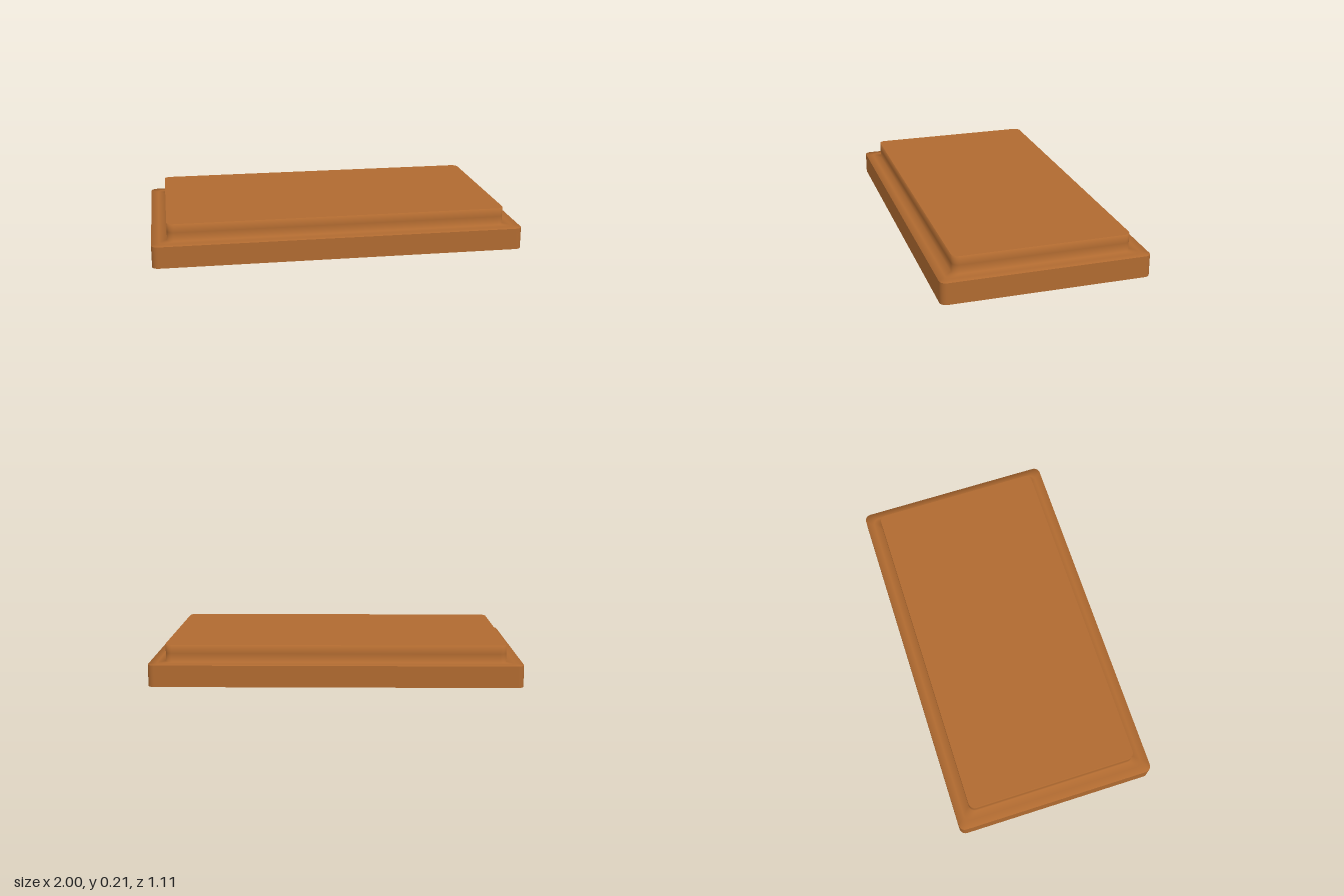
import * as THREE from 'three';

const HALF_X = 1, HALF_Z = 0.555, RADIUS = 0.035;
const STEP_Y = 0.117, TOP_Y = 0.212, INSET = 0.083;
const CORNER_STEPS = 6;

// Rounded rectangle with outward directions, as points { x, z, nx, nz }
function outline(inset) {
  const points = [];
  const corners = [[1, 1], [-1, 1], [-1, -1], [1, -1]];
  corners.forEach(([sx, sz], quarter) => {
    for (let i = 0; i <= CORNER_STEPS; i++) {
      const angle = (quarter + i / CORNER_STEPS) * Math.PI / 2;
      const nx = Math.cos(angle), nz = Math.sin(angle);
      points.push({
        x: sx * (HALF_X - inset - RADIUS) + RADIUS * nx,
        z: sz * (HALF_Z - inset - RADIUS) + RADIUS * nz,
        nx, nz,
      });
    }
  });
  return points;
}

// Sweeps a profile of [inset, y, upward tilt of the normal in degrees] round the outline
function band(profile) {
  const positions = [], normals = [], indices = [];
  const count = 4 * (CORNER_STEPS + 1);
  profile.forEach(([inset, y, degrees], ring) => {
    const tilt = THREE.MathUtils.degToRad(degrees);
    outline(inset).forEach((p, i) => {
      positions.push(p.x, y, p.z);
      normals.push(p.nx * Math.cos(tilt), Math.sin(tilt), p.nz * Math.cos(tilt));
      if (ring === profile.length - 1) return;
      const a = ring * count + i, b = ring * count + (i + 1) % count;
      indices.push(a, a + count, b, b, a + count, b + count);
    });
  });
  const geometry = new THREE.BufferGeometry();
  geometry.setAttribute('position', new THREE.Float32BufferAttribute(positions, 3));
  geometry.setAttribute('normal', new THREE.Float32BufferAttribute(normals, 3));
  geometry.setIndex(indices);
  return geometry;
}

export function createModel() {
  const model = new THREE.Group();
  model.name = 'steppedLid';
  const material = new THREE.MeshStandardMaterial({ color: 0xb06a30, side: THREE.DoubleSide });
  const add = (name, geometry) => {
    const mesh = new THREE.Mesh(geometry, material);
    mesh.name = name;
    model.add(mesh);
    return mesh;
  };

  // Outer skirt, open underneath
  add('skirt', band([[0, 0, 0], [0, STEP_Y, 0]]));

  // Ledge and raised wall, softly shaded across the step
  add('ledgeAndRaisedWall', band([
    [0, STEP_Y, 45],
    [INSET / 2, STEP_Y, 90],
    [INSET, STEP_Y, 45],
    [INSET, (STEP_Y + TOP_Y) / 2, 0],
    [INSET, TOP_Y, 45],
  ]));

  // Flat top panel
  const shape = new THREE.Shape(outline(INSET).map((p) => new THREE.Vector2(p.x, p.z)));
  const panel = new THREE.ShapeGeometry(shape);
  panel.rotateX(-Math.PI / 2).translate(0, TOP_Y, 0);
  add('topPanel', panel);

  return model;
}
